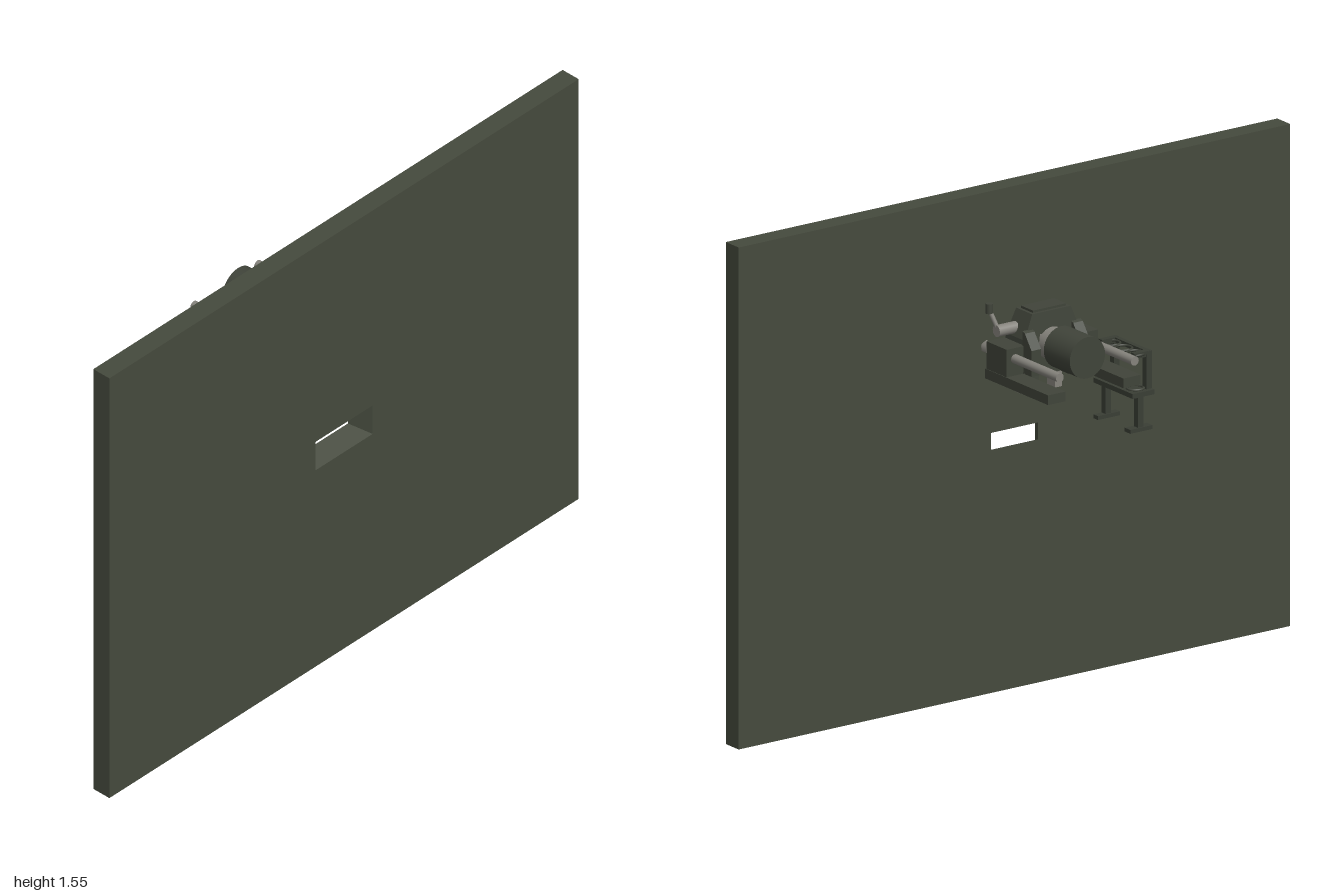
import * as THREE from 'three';

const mat = (name, color) => {
  const m = new THREE.MeshStandardMaterial({ color });
  m.name = name;
  return m;
};

export function createModel() {
  const root = new THREE.Group();
  root.name = 'wallWithMachineAndRack';
  const olive = mat('olive wall', 0x454a3d);
  const dark = mat('dark olive metal', 0x40443a);
  const rackPaint = mat('rack paint', 0x3a3e35);
  const steel = mat('bare steel', 0x85837c);

  const add = (parent, name, geo, material, x = 0, y = 0, z = 0) => {
    const m = new THREE.Mesh(geo, material);
    m.name = name;
    m.position.set(x, y, z);
    parent.add(m);
    return m;
  };
  // Box given by its minimum and maximum on each axis
  const box = (parent, name, material, x0, x1, y0, y1, z0, z1) =>
    add(parent, name, new THREE.BoxGeometry(x1 - x0, y1 - y0, z1 - z0), material,
      (x0 + x1) / 2, (y0 + y1) / 2, (z0 + z1) / 2);
  // Cylinder along z from z0 to z1
  const rod = (parent, name, material, r, x, y, z0, z1, sides = 24) =>
    add(parent, name, new THREE.CylinderGeometry(r, r, z1 - z0, sides).rotateX(Math.PI / 2), material,
      x, y, (z0 + z1) / 2);
  const shapeOf = pts => new THREE.Shape(pts.map(p => new THREE.Vector2(...p)));
  const group = name => {
    const g = new THREE.Group();
    g.name = name;
    root.add(g);
    return g;
  };

  // Wall: four rectangular rings joined into a slab with a splayed slot
  const ring = (hx, y0, y1, z) => [[-hx, y0, z], [hx, y0, z], [hx, y1, z], [-hx, y1, z]];
  const rings = [ring(1, 0, 1.55, 0.24), ring(0.122, 0.725, 0.83, 0.24),
    ring(0.085, 0.75, 0.803, 0.175), ring(1, 0, 1.55, 0.175)];
  const pos = [];
  rings.forEach((a, k) => {
    const b = rings[(k + 1) % 4];
    for (let i = 0; i < 4; i++) {
      const j = (i + 1) % 4;
      pos.push(...a[i], ...a[j], ...b[j], ...a[i], ...b[j], ...b[i]);
    }
  });
  const wallGeo = new THREE.BufferGeometry();
  wallGeo.setAttribute('position', new THREE.Float32BufferAttribute(pos, 3));
  wallGeo.computeVertexNormals();
  add(root, 'wall', wallGeo, olive);

  // Machine body: an arch whose depth tapers toward the top
  const machine = group('machine');
  const arch = shapeOf([[-0.108, 1.01], [-0.055, 1.01], [-0.045, 1.15], [0.045, 1.15], [0.055, 1.01],
    [0.108, 1.01], [0.1, 1.14], [0.07, 1.215], [-0.07, 1.215], [-0.1, 1.14]]);
  const archGeo = new THREE.ExtrudeGeometry(arch, { depth: 1, bevelEnabled: false });
  const ap = archGeo.attributes.position;
  for (let i = 0; i < ap.count; i++) {
    const t = (ap.getY(i) - 1.01) / 0.205;
    const back = -0.022 + 0.012 * t, front = 0.095 - 0.025 * t;
    ap.setZ(i, back + (front - back) * ap.getZ(i));
  }
  archGeo.computeVertexNormals();
  add(machine, 'bodyArch', archGeo, dark);
  box(machine, 'bodyCore', dark, -0.054, 0.054, 1.02, 1.16, -0.005, 0.078);
  box(machine, 'topCap', dark, -0.06, 0.06, 1.21, 1.222, 0.0, 0.06);

  // Motor with its collar, and the round front hub
  rod(machine, 'motor', dark, 0.064, 0, 1.115, -0.19, -0.06, 32);
  rod(machine, 'motorCollar', steel, 0.05, 0, 1.115, -0.06, -0.005);
  rod(machine, 'frontHub', dark, 0.05, 0, 1.1, 0.07, 0.105);
  rod(machine, 'frontHubCap', steel, 0.03, 0, 1.1, 0.1, 0.115);

  // Mirrored skids, rod housings, guide rods, gussets and lower prongs
  const gusset = shapeOf([[-0.01, 1.04], [-0.01, 1.17], [-0.022, 1.165], [-0.055, 1.12], [-0.055, 1.04]]);
  for (const s of [-1, 1]) {
    const side = new THREE.Group();
    side.name = s > 0 ? 'leftSide' : 'rightSide';
    machine.add(side);
    const sbox = (name, m, a, b, ...rest) => box(side, name, m, Math.min(s * a, s * b), Math.max(s * a, s * b), ...rest);
    sbox('skid', dark, 0.105, 0.168, 1.01, 1.04, -0.225, 0.09);
    sbox('rodHousing', dark, 0.1, 0.166, 1.035, 1.125, -0.015, 0.085);
    rod(side, 'guideRod', steel, 0.014, s * 0.136, 1.092, -0.24, 0.135);
    rod(side, 'rodNut', steel, 0.02, s * 0.136, 1.092, 0.105, 0.128, 6);
    rod(side, 'rodFlange', dark, 0.024, s * 0.136, 1.092, 0.085, 0.095);
    const gg = new THREE.ExtrudeGeometry(gusset, { depth: 0.035, bevelEnabled: false })
      .translate(0, 0, -0.0175).rotateY(-Math.PI / 2);
    add(side, 'gusset', gg, dark, s * 0.0875);
    sbox('lowerProng', steel, 0.045, 0.07, 0.955, 1.015, 0.035, 0.075);
  }

  // Crank lever on the model's left
  const lever = new THREE.Group();
  lever.name = 'crankLever';
  machine.add(lever);
  add(lever, 'leverPivot', new THREE.CylinderGeometry(0.018, 0.018, 0.07, 20).rotateZ(Math.PI / 2), steel, 0.12, 1.163, 0.052);
  const arm = new THREE.LineCurve3(new THREE.Vector3(0.145, 1.16, 0.052), new THREE.Vector3(0.165, 1.225, 0.073));
  add(lever, 'leverArm', new THREE.TubeGeometry(arm, 1, 0.007, 10), steel);
  add(lever, 'leverGrip', new THREE.CylinderGeometry(0.011, 0.011, 0.03, 16), dark, 0.165, 1.23, 0.073);

  // Rack beside the machine: feet, legs, tray, back posts and ring holders
  const rack = group('rack');
  const cx = -0.326;
  for (const z of [0.004, 0.166]) {
    box(rack, 'foot', rackPaint, cx - 0.04, cx + 0.04, 0.778, 0.79, z - 0.014, Math.min(z + 0.014, 0.176));
    box(rack, 'leg', rackPaint, cx - 0.01, cx + 0.01, 0.785, 0.89, z - 0.01, Math.min(z + 0.01, 0.176));
    box(rack, 'backPost', rackPaint, -0.367, -0.347, 0.9, 1.01, z - 0.01, Math.min(z + 0.01, 0.176));
    box(rack, 'topArm', rackPaint, -0.367, -0.305, 1.003, 1.02, z - 0.009, Math.min(z + 0.009, 0.176));
  }
  box(rack, 'tray', rackPaint, -0.366, -0.287, 0.888, 0.903, -0.02, 0.176);
  box(rack, 'topRail', rackPaint, -0.367, -0.352, 1.004, 1.019, -0.006, 0.176);
  for (const z of [0.02, 0.08, 0.14]) {
    add(rack, 'trayRing', new THREE.TorusGeometry(0.025, 0.004, 8, 24).rotateX(Math.PI / 2), dark, cx, 0.905, z);
    add(rack, 'holderRing', new THREE.TorusGeometry(0.026, 0.004, 8, 24).rotateX(Math.PI / 2), rackPaint, cx, 1.012, z);
  }
  return root;
}
